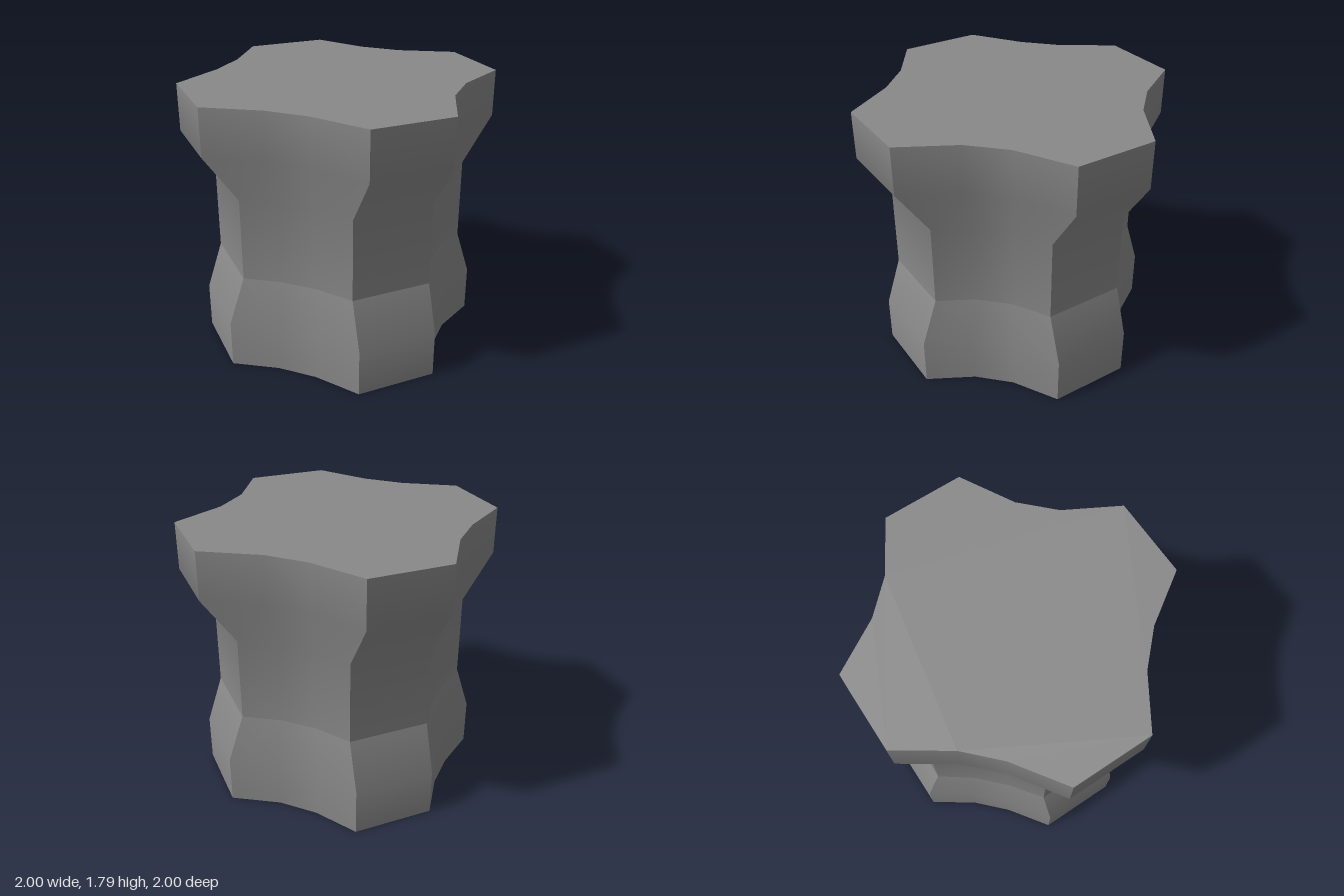
import * as THREE from 'three';

const HALF = 0.265; // half width of each flat lobe face
// inner points of the four concave corners at the top, counterclockwise from the front (x, z)
const HOLLOWS = [
  [[0.455, 0.655], [0.655, 0.455]],
  [[0.66, -0.47], [0.465, -0.67]],
  [[-0.48, -0.68], [-0.68, -0.485]],
  [[-0.68, 0.47], [-0.48, 0.67]],
];
// [height, reach of the lobes]; the foot and the upper body meet in a sharp crease
const FOOT = [[0, 0.895], [0.31, 0.895], [0.625, 0.79]];
const BODY = [[0.625, 0.79], [1.17, 0.79], [1.48, 1], [1.79, 1]];

// end points of the lobe face k, turned by quarter turns from the front
function lobe(k, r) {
  const c = [1, 0, -1, 0][k % 4], s = [0, 1, 0, -1][k % 4];
  return [[-HALF * c + r * s, r * c + HALF * s], [HALF * c + r * s, r * c - HALF * s]];
}

// hollow k draws in with the lobes, but less
function hollow(k, r) {
  const s = 1 - 0.66 * (1 - r);
  return HOLLOWS[k].map(([x, z]) => [x * s, z * s]);
}

// surface strip through rows of points, smooth inside
function strip(levels, rowAt) {
  const rows = levels.map(([y, r]) => rowAt(r).map(([x, z]) => [x, y, z]));
  const n = rows[0].length, faces = [], crossed = [];
  for (let j = 0; j < rows.length - 1; j++) {
    for (let i = 0; i < n - 1; i++) {
      const a = j * n + i, b = a + 1, c = b + n, d = a + n;
      faces.push(a, b, c, a, c, d);
      crossed.push(a, b, d, b, c, d);
    }
  }
  const g = new THREE.BufferGeometry();
  g.setAttribute('position', new THREE.Float32BufferAttribute(rows.flat(2), 3));
  // both diagonals of every quad count for the normals, so the shading stays even
  g.setIndex([...faces, ...crossed]);
  g.computeVertexNormals();
  g.setIndex(faces);
  return g;
}

// flat end face, side +1 for the top and -1 for the bottom
function cap(y, r, side) {
  const ring = [0, 1, 2, 3].flatMap(k => [...lobe(k, r), ...hollow(k, r)]);
  const shape = new THREE.Shape(ring.map(([x, z]) => new THREE.Vector2(x, -side * z)));
  return new THREE.ShapeGeometry(shape).rotateX(-side * Math.PI / 2).translate(0, y, 0);
}

export function createModel() {
  const group = new THREE.Group();
  group.name = 'pedestal';
  const material = new THREE.MeshStandardMaterial({ color: 0x898989 });
  const add = (name, geometry) => {
    const mesh = new THREE.Mesh(geometry, material);
    mesh.name = name;
    group.add(mesh);
  };

  // four flat lobes and the hollows between them
  for (const [part, levels] of [['foot', FOOT], ['body', BODY]]) {
    for (let k = 0; k < 4; k++) {
      add(part + 'Lobe', strip(levels, r => lobe(k, r)));
      add(part + 'Hollow', strip(levels, r => [lobe(k, r)[1], ...hollow(k, r), lobe(k + 1, r)[0]]));
    }
  }

  add('topFace', cap(1.79, 1, 1));
  add('bottomFace', cap(0, 0.895, -1));
  return group;
}
